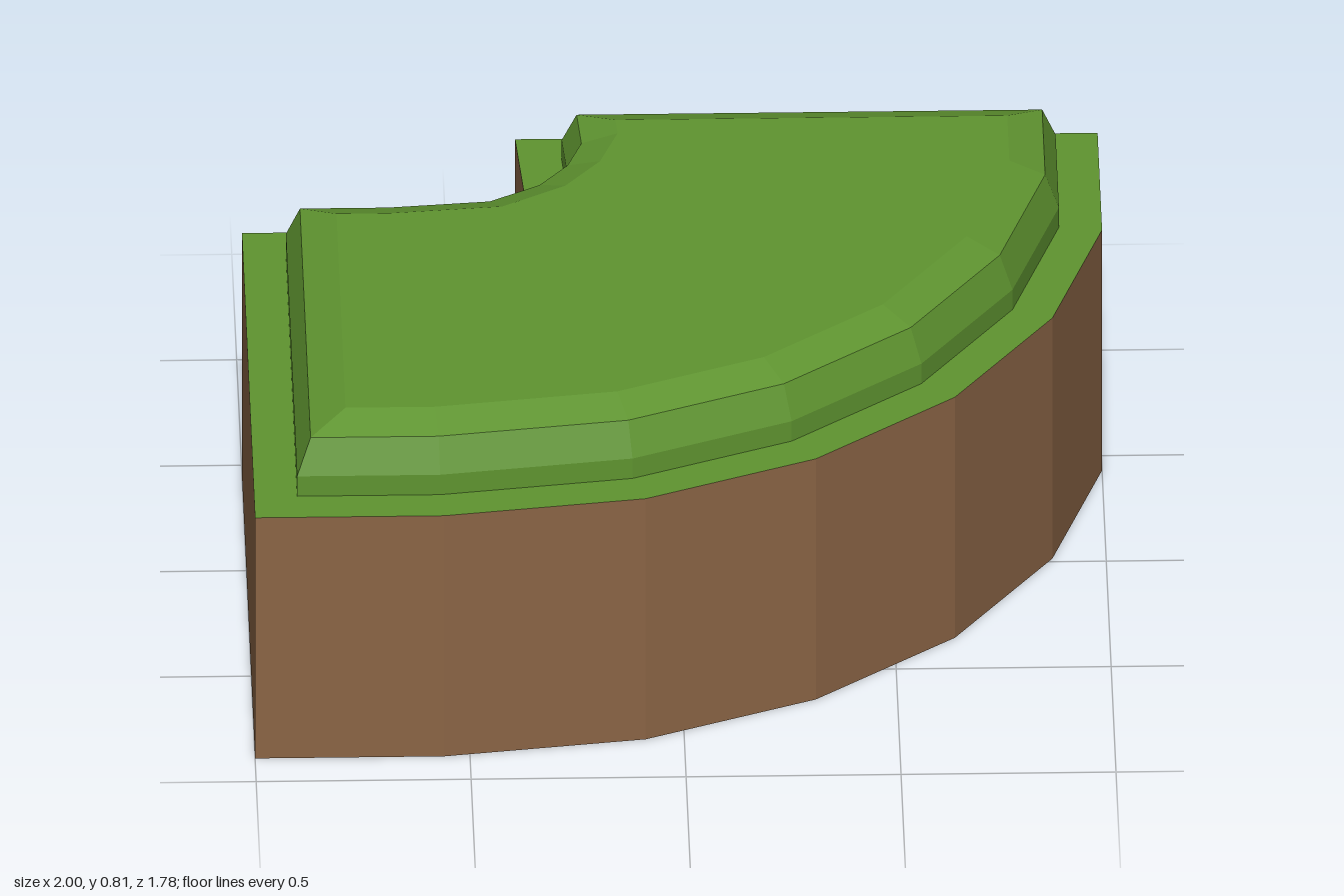
import * as THREE from 'three';

// Plan of the tile as [x, z], running clockwise seen from above
const PLAN = [
  [-1, -0.46], [-0.67, -0.46], [-0.47, -0.48], [-0.4, -0.525], [-0.36, -0.58],
  [-0.34, -0.64], [-0.355, -0.89], [1, -0.89], [1, -0.43], [0.875, -0.015],
  [0.64, 0.355], [0.31, 0.64], [-0.09, 0.82], [-0.56, 0.89], [-1, 0.89],
];

// Mitred inset of the plan
function inset(distance) {
  const n = PLAN.length;
  const normal = (a, b) => {
    const dx = b[0] - a[0], dz = b[1] - a[1], l = Math.hypot(dx, dz);
    return [-dz / l, dx / l];
  };
  return PLAN.map((p, i) => {
    const a = normal(PLAN[(i + n - 1) % n], p);
    const b = normal(p, PLAN[(i + 1) % n]);
    const k = distance / (1 + a[0] * b[0] + a[1] * b[1]);
    return [p[0] + (a[0] + b[0]) * k, p[1] + (a[1] + b[1]) * k];
  });
}

// Walls joining a stack of [inset, height] levels, with flat facets
function walls(levels) {
  const rings = levels.map(([d, y]) => inset(d).map(([x, z]) => [x, y, z]));
  const pos = [];
  for (let r = 0; r < rings.length - 1; r++) {
    for (let i = 0; i < PLAN.length; i++) {
      const j = (i + 1) % PLAN.length;
      const a = rings[r][i], b = rings[r][j], c = rings[r + 1][j], d = rings[r + 1][i];
      pos.push(...a, ...d, ...b, ...b, ...d, ...c);
    }
  }
  const g = new THREE.BufferGeometry();
  g.setAttribute('position', new THREE.Float32BufferAttribute(pos, 3));
  g.computeVertexNormals();
  return g;
}

// Flat face over the inset plan, facing up (1) or down (-1)
function face(distance, y, facing) {
  const shape = new THREE.Shape(inset(distance).map(([x, z]) => new THREE.Vector2(x, -facing * z)));
  return new THREE.ShapeGeometry(shape).rotateX(-facing * Math.PI / 2).translate(0, y, 0);
}

export function createModel() {
  const group = new THREE.Group();
  const dirt = new THREE.MeshStandardMaterial({ color: 0x8a6445, flatShading: true });
  dirt.name = 'dirt brown';
  const grass = new THREE.MeshStandardMaterial({ color: 0x5f9430, flatShading: true });
  grass.name = 'grass green';

  const add = (name, geometry, material) => {
    const mesh = new THREE.Mesh(geometry, material);
    mesh.name = name;
    group.add(mesh);
  };

  // Earth block
  add('dirtWalls', walls([[0, 0], [0, 0.642]]), dirt);
  add('dirtUnderside', face(0, 0, -1), dirt);
  // Grass ledge and bevelled raised turf
  add('grassLedge', face(0, 0.642, 1), grass);
  add('turfSides', walls([[0.1, 0.642], [0.1, 0.695], [0.132, 0.78], [0.215, 0.812]]), grass);
  add('turfTop', face(0.215, 0.812, 1), grass);
  return group;
}
